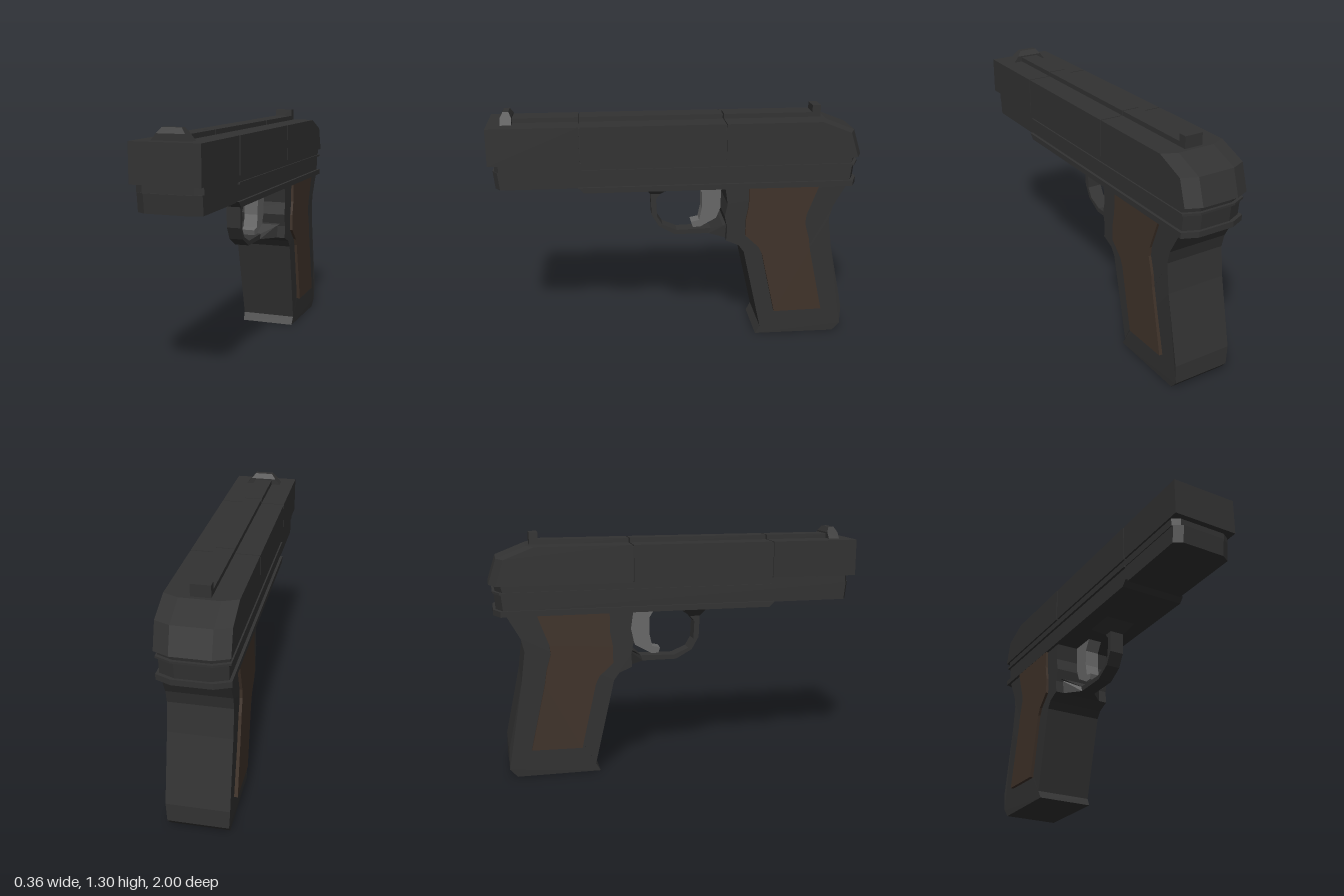
import * as THREE from 'three';

const mat = (color) => new THREE.MeshStandardMaterial({ color, flatShading: true });

// Side profile given as [z, y] points, extruded across x and centred on x = 0
function profile(points, width) {
  const shape = new THREE.Shape(points.map(([z, y]) => new THREE.Vector2(z, y)));
  const g = new THREE.ExtrudeGeometry(shape, { depth: width, bevelEnabled: false });
  return g.translate(0, 0, -width / 2).rotateY(-Math.PI / 2);
}

// Plan outline at height y, with angled corners at the rear and optionally the front
function ring(y, w, front, back, chamfer = 0) {
  const half = [[w, front - chamfer * 0.6], [w, back + 0.035], [w - 0.08, back]];
  if (chamfer) half.unshift([w - chamfer, front]);
  const other = half.map(([x, z]) => [-x, z]).reverse();
  return [...half, ...other].map(([x, z]) => [x, y, z]);
}

// Solid skinned through rings from bottom to top
function loft(rings) {
  const pos = [], n = rings[0].length;
  const tri = (...p) => p.forEach((v) => pos.push(...v));
  for (let k = 0; k < rings.length - 1; k++) {
    const a = rings[k], b = rings[k + 1];
    for (let i = 0; i < n; i++) {
      const j = (i + 1) % n;
      tri(a[i], a[j], b[j]);
      tri(a[i], b[j], b[i]);
    }
  }
  const lo = rings[0], hi = rings[rings.length - 1];
  for (let i = 1; i < n - 1; i++) {
    tri(hi[0], hi[i], hi[i + 1]);
    tri(lo[0], lo[i + 1], lo[i]);
  }
  const g = new THREE.BufferGeometry();
  g.setAttribute('position', new THREE.Float32BufferAttribute(pos, 3));
  g.computeVertexNormals();
  return g;
}

// Box from its limits, symmetric in x
function block(w, y0, y1, z0, z1) {
  return new THREE.BoxGeometry(w * 2, y1 - y0, z1 - z0).translate(0, (y0 + y1) / 2, (z0 + z1) / 2);
}

// Change each vertex's x by a rule
function reshapeX(g, rule) {
  const p = g.attributes.position;
  for (let i = 0; i < p.count; i++) p.setX(i, rule(p.getX(i), p.getY(i), p.getZ(i)));
  g.computeVertexNormals();
  return g;
}

export function createModel() {
  const group = new THREE.Group();
  const dark = mat(0x323232), brown = mat(0x40332a), grey = mat(0x686868);
  const add = (name, geometry, material = dark) => {
    const m = new THREE.Mesh(geometry, material);
    m.name = name;
    group.add(m);
    return m;
  };

  // Slide: three sections separated by narrow seams around a core
  add('slideFront', block(0.18, 1.04, 1.237, 0.524, 1));
  add('slideMiddle', block(0.18, 1.04, 1.237, -0.246, 0.516));
  add('slideRear', loft([
    ring(1.04, 0.18, -0.254, -1),
    ring(1.175, 0.18, -0.254, -0.957),
    ring(1.237, 0.18, -0.254, -0.8),
  ]));
  add('slideCore', block(0.172, 1.045, 1.229, -0.5, 0.9));

  // Top rail, broken at the same seams
  [[0.524, 0.87], [-0.246, 0.516], [-0.78, -0.254]].forEach(([z0, z1]) =>
    add('topRail', block(0.05, 1.22, 1.262, z0, z1)));

  // Sights
  add('frontSight', reshapeX(profile([[0.93, 1.237], [0.93, 1.27], [0.915, 1.298],
    [0.885, 1.298], [0.87, 1.27], [0.87, 1.237]], 0.2),
  (x, y) => Math.sign(x) * (y < 1.25 ? 0.1 : y < 1.28 ? 0.073 : 0.05)));
  add('rearSight', block(0.05, 1.22, 1.3, -0.78, -0.735));

  // Frame: recessed neck, thin lip and main body
  add('frameNeck', loft([ring(1, 0.17, 0.97, -0.965, 0.04), ring(1.04, 0.17, 0.97, -0.975, 0.04)]));
  add('frameLip', loft([ring(0.995, 0.178, 0.515, -0.982), ring(1.006, 0.178, 0.515, -0.982)]));
  add('frameBody', loft([ring(0.905, 0.165, 0.97, -0.965, 0.045), ring(1, 0.165, 0.98, -0.975, 0.045)]));
  add('frameFlange', loft([ring(0.88, 0.18, 0.505, -0.98), ring(0.91, 0.18, 0.535, -0.98)]));

  // Grip, slightly narrower at its foot
  add('grip', reshapeX(profile([
    [-0.25, 0.89], [-0.265, 0.79], [-0.25, 0.72], [-0.265, 0.65], [-0.26, 0.58],
    [-0.33, 0.55], [-0.36, 0.51], [-0.465, 0.045], [-0.44, 0], [-0.89, 0],
    [-0.93, 0.045], [-0.93, 0.15], [-0.85, 0.53], [-0.83, 0.69], [-0.847, 0.76],
    [-0.915, 0.88], [-0.915, 0.89],
  ], 0.33), (x, y) => x * (y < 0.1 ? 0.95 + y * 0.33 : 1)));

  // Grip panels on both sides
  const panel = [
    [-0.38, 0.88], [-0.38, 0.78], [-0.365, 0.7], [-0.365, 0.61], [-0.44, 0.54], [-0.46, 0.5],
    [-0.54, 0.145], [-0.81, 0.15], [-0.73, 0.51], [-0.72, 0.58], [-0.695, 0.67], [-0.7, 0.72], [-0.76, 0.88],
  ];
  for (const side of [1, -1])
    add(side > 0 ? 'leftGripPanel' : 'rightGripPanel', profile(panel, 0.03), brown).position.x = side * 0.164;

  // Trigger guard, flaring where it meets the frame and the grip
  add('triggerGuard', reshapeX(profile([
    [0.19, 0.885], [0.145, 0.82], [0.14, 0.7], [0.1, 0.63], [0.01, 0.58], [-0.18, 0.58], [-0.28, 0.58],
    [-0.28, 0.67], [-0.245, 0.66], [-0.19, 0.61], [0, 0.605], [0.08, 0.64],
    [0.11, 0.69], [0.115, 0.79], [0.09, 0.82], [0, 0.885],
  ], 0.08), (x, y, z) => Math.sign(x) * (z < -0.22 ? 0.135 : y > 0.85 ? 0.09 : 0.04)));

  // Trigger
  add('trigger', profile([
    [-0.1, 0.885], [-0.14, 0.82], [-0.14, 0.73], [-0.125, 0.66], [-0.08, 0.65], [-0.09, 0.62],
    [-0.13, 0.62], [-0.22, 0.67], [-0.245, 0.73], [-0.245, 0.8], [-0.25, 0.885],
  ], 0.08), grey);

  return group;
}
